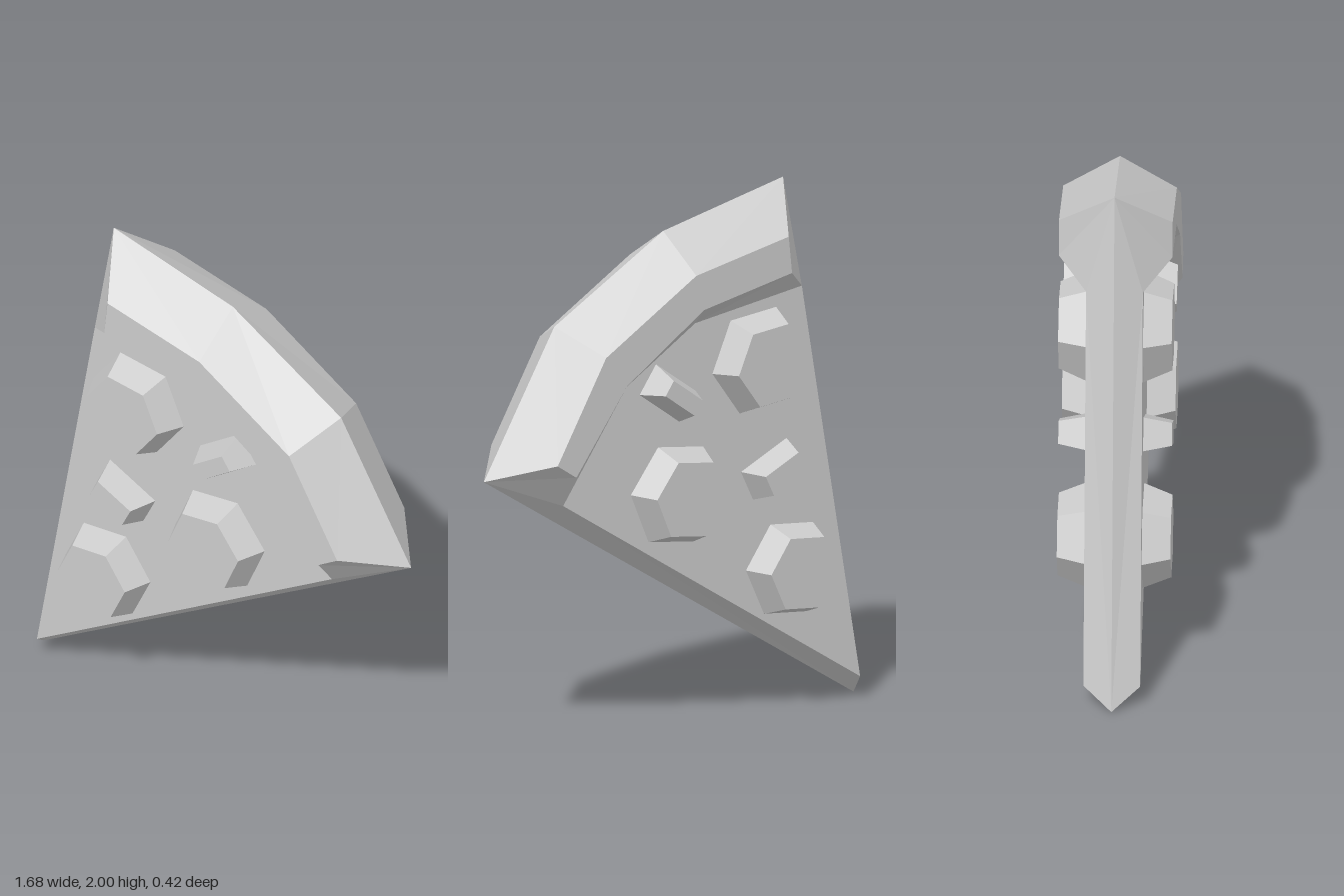
import * as THREE from 'three';

const material = new THREE.MeshStandardMaterial({ color: 0xcccccc, flatShading: true });
const TOP = 0.21, BASE = 0.105; // half thickness of the crust and of the slice

// Crust cross-sections from left to right: outer edge, outer ridge, inner ridge, foot
const stations = [
  [[-0.52, 2.0], [-0.395, 1.83], [-0.41, 1.69], [-0.53, 1.605]],
  [[0.025, 1.87], [0.025, 1.74], [-0.01, 1.605], [-0.045, 1.53]],
  [[0.52, 1.575], [0.435, 1.485], [0.34, 1.365], [0.285, 1.32]],
  [[0.84, 1.03], [0.655, 1.105], [0.57, 1.05], [0.555, 0.92]],
].map((s) => s.map(([x, y], k) => [x, y, [0, TOP, TOP, BASE][k]]));
const tipEdge = [-0.84, 0, 0], tipFace = [-0.795, 0.085, BASE];

// Flat-shaded geometry from convex polygons, each split as a fan
function fromPolygons(polygons) {
  const positions = [];
  for (const p of polygons) {
    for (let i = 1; i < p.length - 1; i++) positions.push(...p[0], ...p[i], ...p[i + 1]);
  }
  const geometry = new THREE.BufferGeometry();
  geometry.setAttribute('position', new THREE.Float32BufferAttribute(positions, 3));
  geometry.computeVertexNormals();
  return geometry;
}

// Copy reflected in z, with the corner order reversed
function mirrored(geometry) {
  const g = geometry.index ? geometry.toNonIndexed() : geometry.clone();
  const p = g.attributes.position, a = new THREE.Vector3(), b = new THREE.Vector3();
  for (let i = 0; i < p.count; i += 3) {
    a.fromBufferAttribute(p, i + 1);
    b.fromBufferAttribute(p, i + 2);
    p.setXYZ(i + 1, b.x, b.y, b.z);
    p.setXYZ(i + 2, a.x, a.y, a.z);
  }
  for (let i = 0; i < p.count; i++) p.setZ(i, -p.getZ(i));
  g.computeVertexNormals();
  return g;
}

// Six-sided tapered disc standing on the front face
function discGeometry(x, y, bottom, top, angle) {
  return new THREE.CylinderGeometry(top, bottom, TOP - BASE, 6)
    .rotateX(Math.PI / 2)
    .rotateZ(THREE.MathUtils.degToRad(angle + 30))
    .translate(x, y, (TOP + BASE) / 2);
}

// Small tapered block standing on the front face
function chunkGeometry(x, y, width, height, topWidth, topHeight, angle) {
  const g = new THREE.BoxGeometry(width, height, TOP - BASE);
  const p = g.attributes.position;
  for (let i = 0; i < p.count; i++) {
    if (p.getZ(i) > 0) {
      p.setX(i, Math.sign(p.getX(i)) * topWidth / 2);
      p.setY(i, Math.sign(p.getY(i)) * topHeight / 2);
    }
  }
  g.rotateZ(THREE.MathUtils.degToRad(angle)).translate(x, y, (TOP + BASE) / 2);
  g.computeVertexNormals();
  return g;
}

export function createModel() {
  const model = new THREE.Group();
  model.name = 'pizzaSlice';

  const addBothSides = (name, geometry) => {
    for (const [side, g] of [['Front', geometry], ['Back', mirrored(geometry)]]) {
      const mesh = new THREE.Mesh(g, material);
      mesh.name = name + side;
      model.add(mesh);
    }
  };

  const first = stations[0], last = stations[3];

  // Crust: bands between neighbouring sections, plus the two cut ends
  const crust = [
    [first[0], first[3], first[2], first[1]],
    [last[0], last[1], last[2], last[3]],
  ];
  for (let i = 0; i < 3; i++) {
    const a = stations[i], b = stations[i + 1];
    for (let k = 0; k < 3; k++) crust.push([a[k], a[k + 1], b[k + 1], b[k]]);
  }
  addBothSides('crust', fromPolygons(crust));

  // Slice: flat face and the two bevelled cut edges
  addBothSides('slice', fromPolygons([
    [tipFace, last[3], stations[2][3], stations[1][3], first[3]],
    [tipEdge, tipFace, first[3], first[0]],
    [tipEdge, last[0], last[3], tipFace],
  ]));

  // Toppings
  const discs = [
    [-0.33, 1.35, 0.208, 0.162, -6.5],
    [0.043, 0.893, 0.206, 0.16, 7],
    [-0.469, 0.542, 0.194, 0.153, 5],
  ];
  discs.forEach((d, i) => addBothSides('sausageDisc' + (i + 1), discGeometry(...d)));

  const chunks = [
    [0.08, 1.283, 0.22, 0.13, 0.16, 0.065, 35],
    [-0.384, 0.93, 0.23, 0.125, 0.165, 0.085, -26],
  ];
  chunks.forEach((c, i) => addBothSides('toppingChunk' + (i + 1), chunkGeometry(...c)));

  return model;
}
